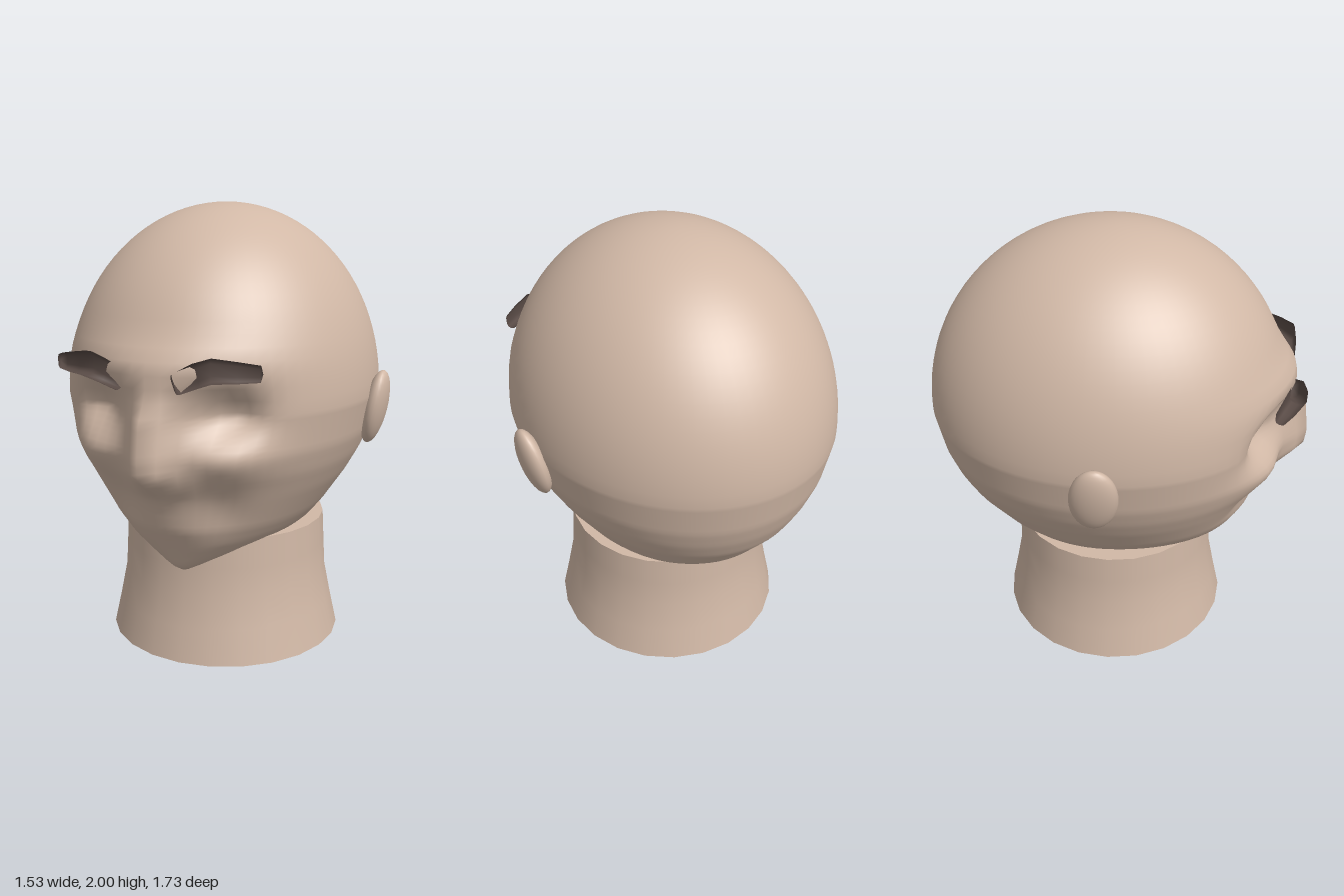
import * as THREE from 'three';
import { mergeVertices } from 'three/addons/utils/BufferGeometryUtils.js';

const skin = new THREE.MeshStandardMaterial({ color: 0xd1b8a6 });
skin.name = 'skin';
const hair = new THREE.MeshStandardMaterial({ color: 0x594b46 });
hair.name = 'dark brow';

// Linear lookup in rows of [y, ...values], listed from top to bottom
function lookup(table, y) {
  if (y >= table[0][0]) return table[0].slice(1);
  for (let i = 1; i < table.length; i++) {
    const a = table[i - 1], b = table[i];
    if (y >= b[0]) {
      const t = (a[0] - y) / (a[0] - b[0]);
      return a.slice(1).map((v, k) => v + (b[k + 1] - v) * t);
    }
  }
  return table[table.length - 1].slice(1);
}

// Joins closed rings of points, ordered top to bottom, into a smooth skin
function loft(rings) {
  const n = rings[0].length, index = [];
  for (let i = 0; i < rings.length - 1; i++) {
    for (let j = 0; j < n; j++) {
      const a = i * n + j, c = i * n + (j + 1) % n;
      index.push(a, a + n, c, c, a + n, c + n);
    }
  }
  const g = new THREE.BufferGeometry();
  g.setAttribute('position', new THREE.Float32BufferAttribute(rings.flat(2), 3));
  g.setIndex(index);
  const merged = mergeVertices(g, 1e-5);
  merged.computeVertexNormals();
  return merged;
}

const bump = (x, y, cx, cy, sx, sy) =>
  Math.exp(-(((x - cx) / sx) ** 2) - ((y - cy) / sy) ** 2);

// Lower head: y, half width, front z, back z
const JAW = [
  [1.17, 0.70, 0.76, -0.86], [1.0, 0.665, 0.75, -0.83], [0.9, 0.625, 0.72, -0.795],
  [0.8, 0.57, 0.675, -0.745], [0.65, 0.47, 0.625, -0.63], [0.57, 0.405, 0.575, -0.54],
  [0.5, 0.29, 0.535, -0.46], [0.45, 0.17, 0.51, -0.4], [0.42, 0.08, 0.46, -0.3],
];
// Nose: y, height above the face, half width
const NOSE = [
  [1.34, 0, 0.07], [1.27, 0.02, 0.07], [1.15, 0.09, 0.07],
  [0.93, 0.13, 0.085], [0.81, 0.01, 0.1], [0.75, 0, 0.1],
];

// Forward push of the face surface: brow ridge, nose, eye sockets, cheekbones
function relief(x, y) {
  const ax = Math.abs(x), [h, w] = lookup(NOSE, y);
  return h * Math.exp(-((x / w) ** 2))
    + 0.045 * bump(ax, y, 0, 1.36, 0.4, 0.08)
    - 0.13 * bump(ax, y, 0.28, 1.17, 0.13, 0.1)
    + 0.035 * bump(ax, y, 0.33, 0.98, 0.13, 0.08)
    - 0.03 * bump(ax, y, 0.22, 0.76, 0.1, 0.13);
}

function headGeometry() {
  const N = 72, UP = 24, DOWN = 32, C = -0.04, rings = [];
  const addRing = (y, w, f, b) => {
    const ring = [];
    for (let j = 0; j < N; j++) {
      const a = (j / N) * Math.PI * 2, x = w * Math.sin(a), c = Math.cos(a);
      let z = C + c * (c > 0 ? f - C : C - b);
      if (c > 0) z += relief(x, y) * Math.min(1, c * 2.5);
      ring.push([x, y, z]);
    }
    rings.push(ring);
  };
  for (let i = 0; i < UP; i++) {
    const t = (i / UP) * Math.PI / 2, s = Math.sin(t);
    addRing(1.17 + 0.83 * Math.cos(t), 0.7 * s, C + 0.8 * s, C - 0.82 * s);
  }
  for (let i = 0; i <= DOWN; i++) {
    const y = 1.17 - 0.75 * (i / DOWN);
    addRing(y, ...lookup(JAW, y));
  }
  rings.push(rings[0].map(() => [0, 0.42, 0.1]));
  return loft(rings);
}

// Brow sections from inner to outer end: centre, half height, half depth, lean
const BROW = [
  [0.12, 1.305, 0.76, 0.04, 0.028, -0.35],
  [0.2, 1.342, 0.767, 0.048, 0.032, -0.2],
  [0.27, 1.365, 0.765, 0.05, 0.034, 0],
  [0.36, 1.358, 0.72, 0.042, 0.029, 0.05],
  [0.435, 1.352, 0.677, 0.033, 0.02, 0.05],
];

function browGeometry() {
  const N = 10;
  const rings = BROW.map(([x, y, z, h, d, lean]) => {
    const ring = [];
    for (let j = 0; j < N; j++) {
      const a = (j / N) * Math.PI * 2;
      const sq = (v) => Math.sign(v) * Math.abs(v) ** 0.6;
      const dy = h * sq(Math.cos(a)), dz = d * sq(Math.sin(a));
      ring.push([x + dy * lean + dz * (x > 0.25 ? 0.5 : 0), y + dy, z + dz]);
    }
    return ring;
  });
  // Closed, slightly domed ends
  const cap = (k, dx) => {
    const [x, y, z] = BROW[k];
    return rings[0].map(() => [x + dx, y, z]);
  };
  return loft([cap(0, -0.006), ...rings, cap(BROW.length - 1, 0.01)]);
}

export function createModel() {
  const group = new THREE.Group();
  group.name = 'headBust';
  const add = (name, geometry, material) => {
    const mesh = new THREE.Mesh(geometry, material);
    mesh.name = name;
    group.add(mesh);
    return mesh;
  };

  add('head', headGeometry(), skin);

  // Neck: flared tube with closed ends
  const profile = [[0.545, 0], [0.512, 0.15], [0.482, 0.3], [0.475, 0.43], [0.468, 0.565]];
  add('neck', new THREE.LatheGeometry(profile.map(([r, y]) => new THREE.Vector2(r, y)), 24), skin)
    .position.z = -0.03;
  for (const [name, r, y, turn] of [['neckBase', 0.545, 0, 1], ['neckTop', 0.468, 0.565, -1]]) {
    const cap = add(name, new THREE.CircleGeometry(r, 24), skin);
    cap.position.set(0, y, -0.03);
    cap.rotation.x = turn * Math.PI / 2;
  }

  // Ears and eyebrows, mirrored
  const brow = browGeometry();
  for (const side of [1, -1]) {
    const label = side > 0 ? 'left' : 'right';
    const ear = add(label + 'Ear', new THREE.SphereGeometry(1, 24, 16), skin);
    ear.scale.set(0.052, 0.17, 0.102);
    ear.position.set(side * 0.706, 1.108, -0.063);
    ear.rotation.set(0.06, 0, side * -0.2);

    const g = brow.clone();
    if (side < 0) {
      g.scale(-1, 1, 1);
      const ix = g.index.array;
      for (let i = 0; i < ix.length; i += 3) [ix[i], ix[i + 1]] = [ix[i + 1], ix[i]];
      g.computeVertexNormals();
    }
    // Ring order runs along +x, so the skin is seen from outside on both sides
    add(label + 'Eyebrow', g, hair);
  }
  return group;
}
